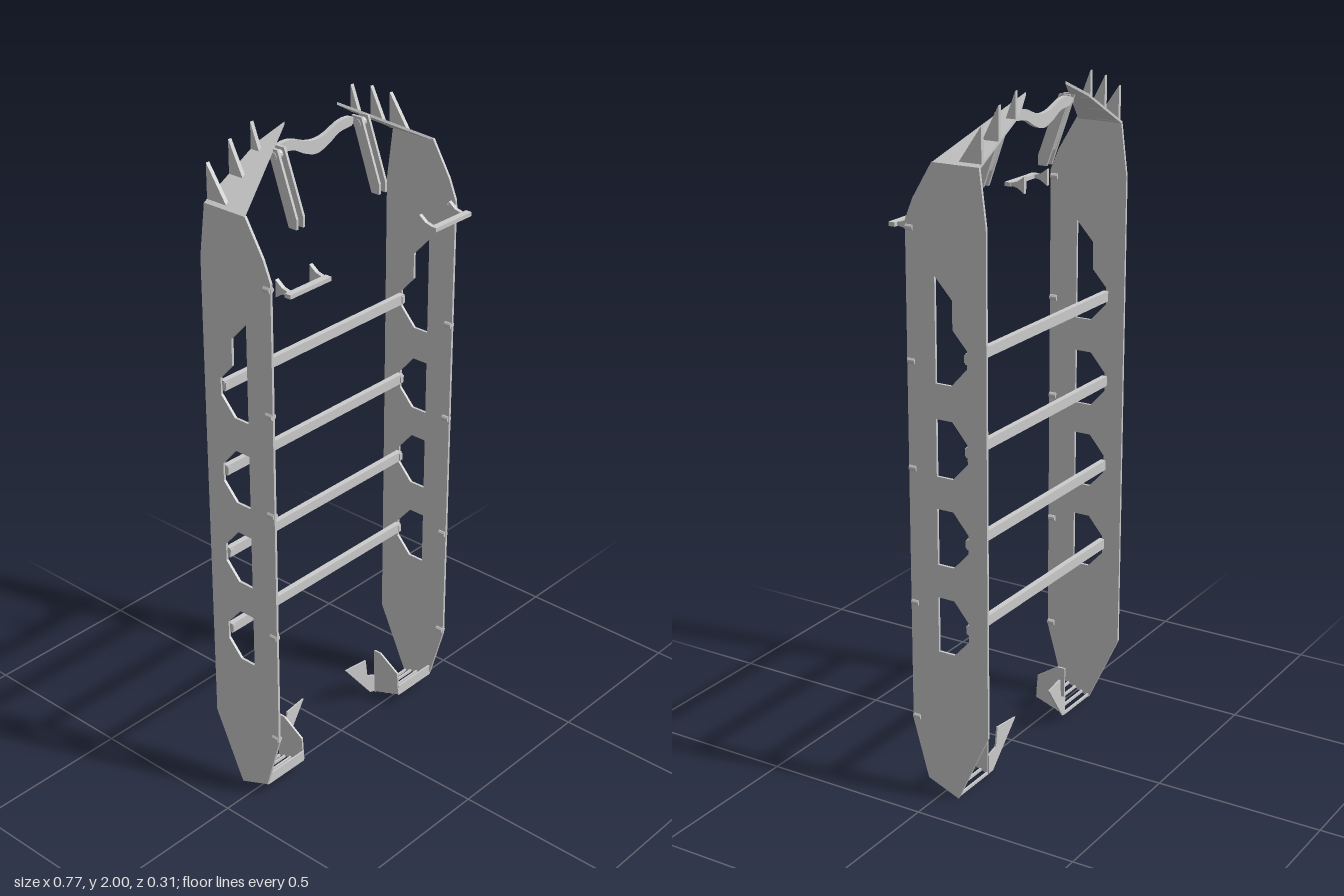
import * as THREE from 'three';

const material = new THREE.MeshStandardMaterial({ color: 0xcccccc, flatShading: true, side: THREE.DoubleSide });

const toVectors = (pts) => pts.map(([a, b]) => new THREE.Vector2(a, b));
const shapeOf = (pts) => new THREE.Shape(toVectors(pts));

// Plate seen from the side: outline and holes are [z, y], thickness runs along x
function sidePlate(outline, x, thickness, holes = []) {
  const shape = shapeOf(outline);
  shape.holes = holes.map((h) => new THREE.Path(toVectors(h)));
  return new THREE.ExtrudeGeometry(shape, { depth: thickness, bevelEnabled: false })
    .rotateY(-Math.PI / 2).translate(x + thickness / 2, 0, 0);
}

// Plate seen from the front: outline is [x, y], thickness runs along z
function frontPlate(shape, z, thickness) {
  return new THREE.ExtrudeGeometry(shape, { depth: thickness, bevelEnabled: false, curveSegments: 10 })
    .translate(0, 0, z - thickness / 2);
}

const box = (w, h, d, x, y, z) => new THREE.BoxGeometry(w, h, d).translate(x, y, z);

// Copy a geometry to the other side of x = 0 and restore its winding
function mirrored(geometry) {
  const g = geometry.index ? geometry.toNonIndexed() : geometry.clone();
  g.scale(-1, 1, 1);
  const order = [];
  for (let i = 0; i < g.attributes.position.count; i += 3) order.push(i, i + 2, i + 1);
  g.setIndex(order);
  return g;
}

export function createModel() {
  const model = new THREE.Group();
  model.name = 'climbingFrame';
  const add = (name, geometry) => {
    const mesh = new THREE.Mesh(geometry, material);
    mesh.name = name;
    model.add(mesh);
  };
  const addPair = (name, geometry) => {
    add(name + 'Left', geometry);
    add(name + 'Right', mirrored(geometry));
  };

  // Tall side panels with one long and three short cut-outs
  const holes = [[[0.005, 1.53], [-0.05, 1.47], [-0.05, 1.39], [-0.095, 1.34],
    [-0.095, 1.29], [-0.045, 1.235], [0.005, 1.235]]];
  for (const y of [1.053, 0.795, 0.533]) {
    holes.push([[0.005, y + 0.082], [-0.047, y + 0.082], [-0.095, y + 0.025],
      [-0.095, y - 0.03], [-0.047, y - 0.082], [0.005, y - 0.082]]);
  }
  addPair('sidePanel', sidePlate([[0.01, 1.83], [-0.135, 1.83], [-0.155, 1.675], [-0.155, 0.22],
    [-0.055, 0.005], [0.045, 0.045], [0.095, 0.22], [0.095, 1.67], [0.07, 1.73]], 0.374, 0.008, holes));

  // Rungs, with a small tab where each meets the panel
  for (const y of [1.315, 1.055, 0.79, 0.535]) {
    add('rung', box(0.745, 0.03, 0.017, 0, y, -0.094));
    addPair('rungTab', box(0.012, 0.022, 0.02, 0.366, y, -0.092));
  }

  // Studs along the front edges
  for (const y of [1.65, 1.285, 0.98, 0.582, 0.23]) {
    addPair('edgeStud', new THREE.CylinderGeometry(0.01, 0.01, 0.023, 10)
      .rotateX(Math.PI / 2).translate(0.373, y, 0.082));
  }

  // Sloping roof plates, sheared so they rise towards the middle
  const roofY = (x) => 1.83 + (0.378 - x) * 0.545;
  const roof = new THREE.ExtrudeGeometry(
    shapeOf([[0.378, 0.008], [0.102, -0.107], [0.18, -0.135], [0.378, -0.135]]),
    { depth: 0.008, bevelEnabled: false }).rotateX(Math.PI / 2);
  const p = roof.attributes.position;
  for (let i = 0; i < p.count; i++) p.setY(i, p.getY(i) + roofY(p.getX(i)));
  roof.computeVertexNormals();
  addPair('roofPlate', roof);

  // Pointed fins on the roof plates
  for (const [x, front, top] of [[0.36, -0.065, 1.935], [0.278, -0.085, 1.975], [0.196, -0.105, 2]]) {
    const base = roofY(x) - 0.006;
    addPair('roofFin', sidePlate([[front, base], [-0.135, top], [-0.135, base]], x, 0.012));
  }

  // Wavy top crossbar
  const wave = new THREE.Shape();
  wave.moveTo(-0.16, 1.925);
  wave.splineThru(toVectors([[-0.13, 1.935], [-0.09, 1.932], [-0.04, 1.914], [0, 1.908],
    [0.04, 1.914], [0.09, 1.932], [0.13, 1.935], [0.16, 1.925]]));
  wave.lineTo(0.14, 1.908);
  wave.splineThru(toVectors([[0.09, 1.902], [0.045, 1.88], [0, 1.868], [-0.045, 1.88],
    [-0.09, 1.902], [-0.14, 1.908]]));
  add('topCrossbar', frontPlate(wave, -0.094, 0.014));

  // Forked hangers slanting forward from the crossbar
  const cheek = [[-0.095, 1.935], [-0.06, 1.935], [0.005, 1.76], [0.005, 1.73], [-0.022, 1.73]];
  for (const x of [0.152, 0.178]) addPair('hangerCheek', sidePlate(cheek, x, 0.008));
  addPair('hangerWeb', sidePlate([[-0.088, 1.91], [-0.072, 1.91], [-0.022, 1.775], [-0.036, 1.775]], 0.165, 0.02));
  addPair('hangerPin', new THREE.CylinderGeometry(0.013, 0.013, 0.038, 12)
    .rotateZ(Math.PI / 2).translate(0.165, 1.915, -0.075));

  // Front handles: a bar on two tapered arms
  addPair('handleBar', box(0.155, 0.012, 0.02, 0.29, 1.648, 0.145));
  for (const x of [0.222, 0.35]) {
    addPair('handleArm', sidePlate([[0.155, 1.648], [0.115, 1.658], [0.092, 1.675],
      [0.092, 1.625], [0.115, 1.64]], x, 0.012));
  }

  // Footrests: slats that follow the sloped panel bottom
  for (const z of [0.043, 0.017, -0.006, -0.031, -0.052]) {
    addPair('footSlat', box(0.155, 0.008, 0.006, 0.297, 0.03 + z * 0.35, z));
  }
  addPair('footFrontStrip', box(0.155, 0.034, 0.005, 0.297, 0.058, 0.043));
  addPair('footInnerPlate', sidePlate([[0.045, 0.045], [0.04, 0.12], [-0.03, 0.165],
    [-0.055, 0.165], [-0.055, 0.01]], 0.22, 0.006));

  // Wing reaching inward from each footrest, slightly swept back
  const wing = frontPlate(shapeOf([[0.22, 0.07], [0.187, 0.085], [0.18, 0.145], [0.097, 0.145],
    [0.2, 0.015], [0.22, 0.01]]), -0.055, 0.005);
  const w = wing.attributes.position;
  for (let i = 0; i < w.count; i++) w.setZ(i, w.getZ(i) - (0.22 - w.getX(i)) * 0.12);
  wing.computeVertexNormals();
  addPair('footWing', wing);

  return model;
}
